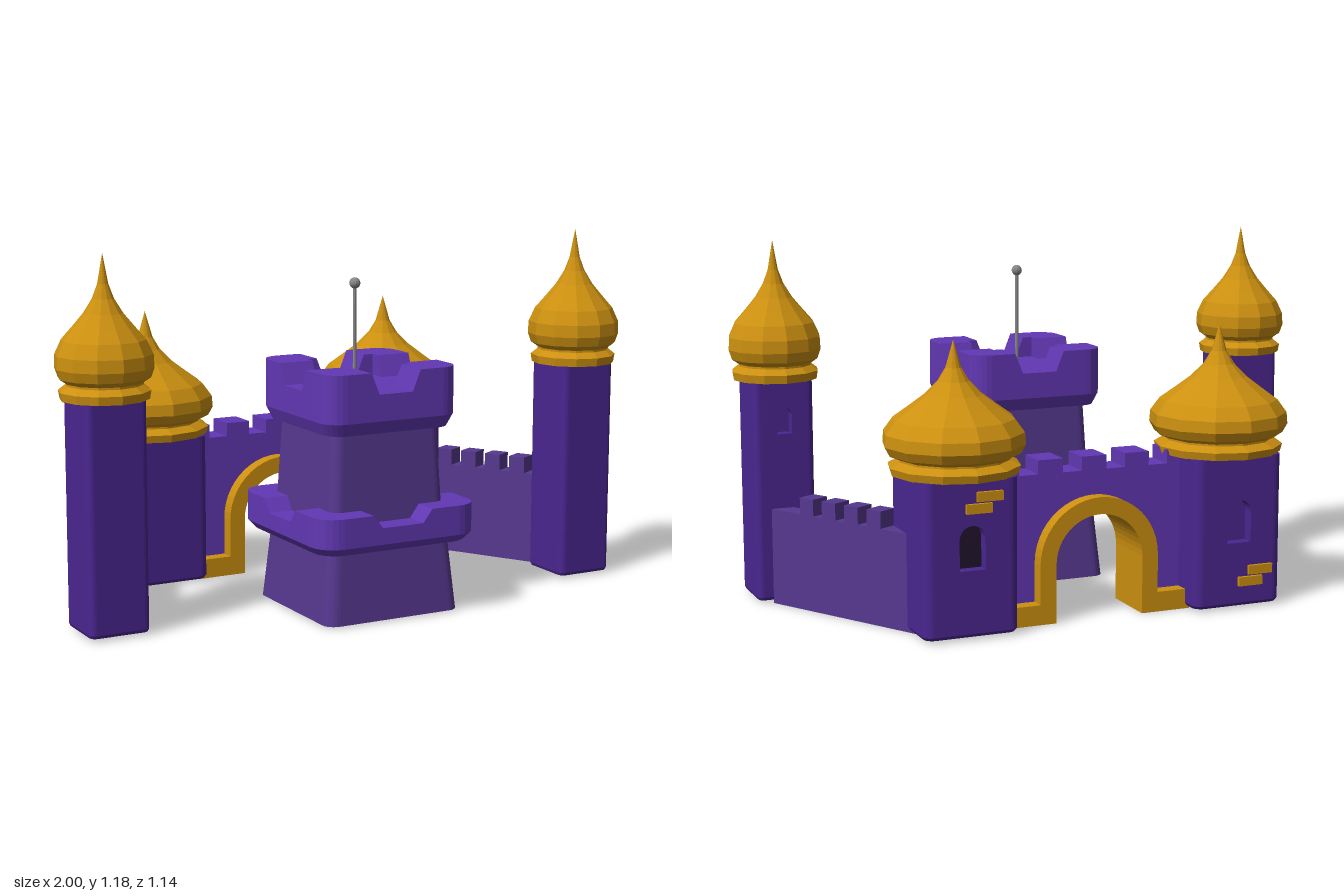
import * as THREE from 'three';

const mat = (color) => new THREE.MeshStandardMaterial({ color, flatShading: true });
const M = {
  crown: mat(0x6238b4), tower: mat(0x4a2690), wall: mat(0x56388f),
  gold: mat(0xcc9010), dark: mat(0x20142c), grey: mat(0x888888),
};

function add(parent, name, geometry, material, x = 0, y = 0, z = 0) {
  const m = new THREE.Mesh(geometry, material);
  m.name = name;
  m.position.set(x, y, z);
  parent.add(m);
  return m;
}

const group = (parent, name, x = 0, y = 0, z = 0) => {
  const g = new THREE.Group();
  g.name = name;
  g.position.set(x, y, z);
  parent.add(g);
  return g;
};

// Square footprint with rounded corners; an optional notch is cut into the back side
function footprint(h, r, notchHalf = 0, notchDepth = 0) {
  const s = new THREE.Shape();
  s.moveTo(-h + r, -h).lineTo(h - r, -h).absarc(h - r, -h + r, r, -Math.PI / 2, 0, false);
  s.lineTo(h, h - r).absarc(h - r, h - r, r, 0, Math.PI / 2, false);
  if (notchHalf) {
    s.lineTo(notchHalf, h).lineTo(notchHalf, h - notchDepth);
    s.lineTo(-notchHalf, h - notchDepth).lineTo(-notchHalf, h);
  }
  s.lineTo(-h + r, h).absarc(-h + r, h - r, r, Math.PI / 2, Math.PI, false);
  s.lineTo(-h, -h + r).absarc(-h + r, -h + r, r, Math.PI, Math.PI * 1.5, false);
  return s;
}

// Upright extrusion from y0 to y1, with its cross-section scaled from s0 to s1
function prism(shape, y0, y1, s0 = 1, s1 = 1) {
  const g = new THREE.ExtrudeGeometry(shape, { depth: y1 - y0, bevelEnabled: false, curveSegments: 3 });
  g.rotateX(-Math.PI / 2).translate(0, y0, 0);
  const p = g.attributes.position;
  for (let i = 0; i < p.count; i++) {
    const k = THREE.MathUtils.lerp(s0, s1, (p.getY(i) - y0) / (y1 - y0));
    p.setXYZ(i, p.getX(i) * k, p.getY(i), p.getZ(i) * k);
  }
  g.computeVertexNormals();
  return g;
}

// Onion dome on a collar, as radius and height fractions
const DOME = [[0, 0], [0.9, 0], [0.93, 0.06], [0.78, 0.1], [0.78, 0.115], [0.93, 0.15], [1, 0.22], [0.985, 0.31],
  [0.85, 0.41], [0.62, 0.5], [0.4, 0.59], [0.22, 0.69], [0.11, 0.79], [0, 1]];
const domeGeometry = (r, h) =>
  new THREE.LatheGeometry(DOME.map(([a, b]) => new THREE.Vector2(a * r, b * h)), 12);

// Square tower, with an arched window niche in the back when given {y, w, h}
function addTower(parent, name, { x, z, half, top, domeR, domeTop, win, pane }) {
  const g = group(parent, name, x, 0, z);
  const r = half * 0.2;
  add(g, 'towerFoot', prism(footprint(half, r), 0.01, 0.02, 0.96, 1), M.tower);
  if (win) {
    const w = win.w / 2, depth = 0.04, yTop = win.y + win.h;
    add(g, 'towerBase', prism(footprint(half, r), 0.02, win.y), M.tower);
    add(g, 'towerMiddle', prism(footprint(half, r, w, depth), win.y, yTop), M.tower);
    add(g, 'towerTop', prism(footprint(half, r), yTop, top), M.tower);
    // filled corners above the window arch
    const s = new THREE.Shape();
    s.moveTo(-w, -w).absarc(0, -w, w, Math.PI, 0, true);
    s.lineTo(w, 0.001).lineTo(-w, 0.001).closePath();
    const arch = new THREE.ExtrudeGeometry(s, { depth, bevelEnabled: false, curveSegments: 8 });
    add(g, 'windowArch', arch, M.tower, 0, yTop, -half);
    if (pane) {
      add(g, 'windowPane', new THREE.BoxGeometry(win.w, win.h, 0.004), M.dark, 0, win.y + win.h / 2, -half + depth);
    }
  } else {
    add(g, 'towerBody', prism(footprint(half, r), 0.02, top), M.tower);
  }
  add(g, 'onionDome', domeGeometry(domeR, domeTop - top), M.gold, 0, top, 0);
  return g;
}

// Battlement ring: a slab with four L-shaped corner merlons
function addCrown(parent, y, scaleXZ, scaleY) {
  const g = group(parent, 'crown', 0, y, 0);
  g.scale.set(scaleXZ, scaleY, scaleXZ);
  const h = 0.237, r = 0.065;
  add(g, 'crownUnderside', prism(footprint(h, r), 0, 0.04, 0.93, 1), M.crown);
  add(g, 'crownSlab', prism(footprint(h, r), 0.04, 0.125), M.crown);
  const s = new THREE.Shape();
  s.moveTo(0.06, 0.12).lineTo(0.12, 0.12).lineTo(0.12, 0.06).lineTo(h, 0.06).lineTo(h, h - r);
  s.absarc(h - r, h - r, r, 0, Math.PI / 2, false).lineTo(0.06, h).closePath();
  const geo = prism(s, 0.125, 0.193);
  // slope the sides of the gaps
  const p = geo.attributes.position;
  for (let i = 0; i < p.count; i++) {
    if (p.getY(i) < 0.15) continue;
    if (p.getX(i) < 0.07) p.setX(i, 0.0875);
    if (p.getZ(i) > -0.07) p.setZ(i, -0.0875);
  }
  geo.computeVertexNormals();
  for (let i = 0; i < 4; i++) add(g, 'crownMerlon', geo, M.crown).rotation.y = i * Math.PI / 2;
}

// Straight curtain wall between two points, with merlons
function addSideWall(parent, x0, z0, x1, z1) {
  const len = Math.hypot(x1 - x0, z1 - z0);
  const g = group(parent, 'sideWall', (x0 + x1) / 2, 0, (z0 + z1) / 2);
  g.rotation.y = Math.atan2(-(z1 - z0), x1 - x0);
  add(g, 'wallBody', new THREE.BoxGeometry(len, 0.315, 0.065), M.wall, 0, 0.1575, 0);
  for (let i = 0; i < 4; i++) {
    add(g, 'wallMerlon', new THREE.BoxGeometry(0.058, 0.055, 0.065), M.wall, -0.13 + i * 0.095, 0.3425, 0);
  }
}

// Outline of a round-headed arch, standing on y = 0
function archPath(path, r, spring) {
  path.moveTo(-r, 0).lineTo(-r, spring).absarc(0, spring, r, Math.PI, 0, true).lineTo(r, 0);
  return path;
}

function addGate(parent) {
  const g = group(parent, 'gate', -0.015, 0, -0.328);
  const spring = 0.19, outer = 0.205, inner = 0.15;
  const extrude = (s, depth) =>
    new THREE.ExtrudeGeometry(s, { depth, bevelEnabled: false, curveSegments: 12 }).translate(0, 0, -depth / 2);
  // wall around the opening
  const wall = archPath(new THREE.Shape(), outer - 0.01, spring);
  wall.lineTo(0.34, 0).lineTo(0.34, 0.475).lineTo(-0.34, 0.475).lineTo(-0.34, 0).closePath();
  add(g, 'gateWall', extrude(wall, 0.105), M.crown);
  for (let i = -2; i <= 2; i++) {
    add(g, 'gateMerlon', new THREE.BoxGeometry(0.085, 0.045, 0.105), M.crown, i * 0.15, 0.4975, 0);
  }
  // golden arch lining
  const trim = archPath(new THREE.Shape(), outer, spring);
  trim.lineTo(inner, 0).lineTo(inner, spring).absarc(0, spring, inner, 0, Math.PI, false);
  trim.lineTo(-inner, 0).closePath();
  add(g, 'gateArch', extrude(trim, 0.2), M.gold);
  for (const s of [-1, 1]) {
    add(g, 'gatePlinth', new THREE.BoxGeometry(0.15, 0.065, 0.2), M.gold, s * 0.245, 0.0325, 0);
  }
}

// Pair of staggered bricks standing out of a back wall
function addBricks(parent, x, y) {
  for (const [dx, dy] of [[-0.02, 0.018], [0.015, -0.018]]) {
    add(parent, 'brick', new THREE.BoxGeometry(0.085, 0.03, 0.03), M.gold, x + dx, y + dy, -0.498);
  }
}

export function createModel() {
  const model = new THREE.Group();
  model.name = 'castle';

  // Keep with two battlement rings and a pole
  const keep = group(model, 'keep', -0.01, 0, 0.285);
  add(keep, 'keepBase', prism(footprint(0.24, 0.04), 0.005, 0.26, 1, 0.9), M.wall);
  add(keep, 'keepBody', prism(footprint(0.207, 0.035), 0.26, 0.62, 1, 0.91), M.wall);
  addCrown(keep, 0.237, 1.205, 0.62);
  addCrown(keep, 0.6, 1, 1);
  add(keep, 'pole', new THREE.CylinderGeometry(0.006, 0.006, 0.33, 8), M.grey, -0.015, 0.885, 0);
  add(keep, 'poleBall', new THREE.SphereGeometry(0.018, 10, 8), M.grey, -0.015, 1.045, 0);

  // Tall front towers
  const front = { half: 0.099, top: 0.73, domeR: 0.153, domeTop: 1.18 };
  addTower(model, 'frontTowerLeft', { ...front, x: 0.84, z: 0.26, win: { y: 0.56, w: 0.05, h: 0.085 } });
  addTower(model, 'frontTowerRight', { ...front, x: -0.853, z: 0.213, domeTop: 1.172 });

  // Broad back towers
  const back = { z: -0.345, half: 0.156, top: 0.5, domeR: 0.225, domeTop: 0.913, win: { y: 0.22, w: 0.085, h: 0.14 } };
  addTower(model, 'backTowerLeft', { ...back, x: 0.445, pane: true });
  addTower(model, 'backTowerRight', { ...back, x: -0.475 });
  addBricks(model, 0.41, 0.432);
  addBricks(model, -0.53, 0.11);

  addSideWall(model, 0.55, -0.36, 0.862, 0.175);
  addSideWall(model, -0.585, -0.36, -0.89, 0.17);
  addGate(model);
  return model;
}
